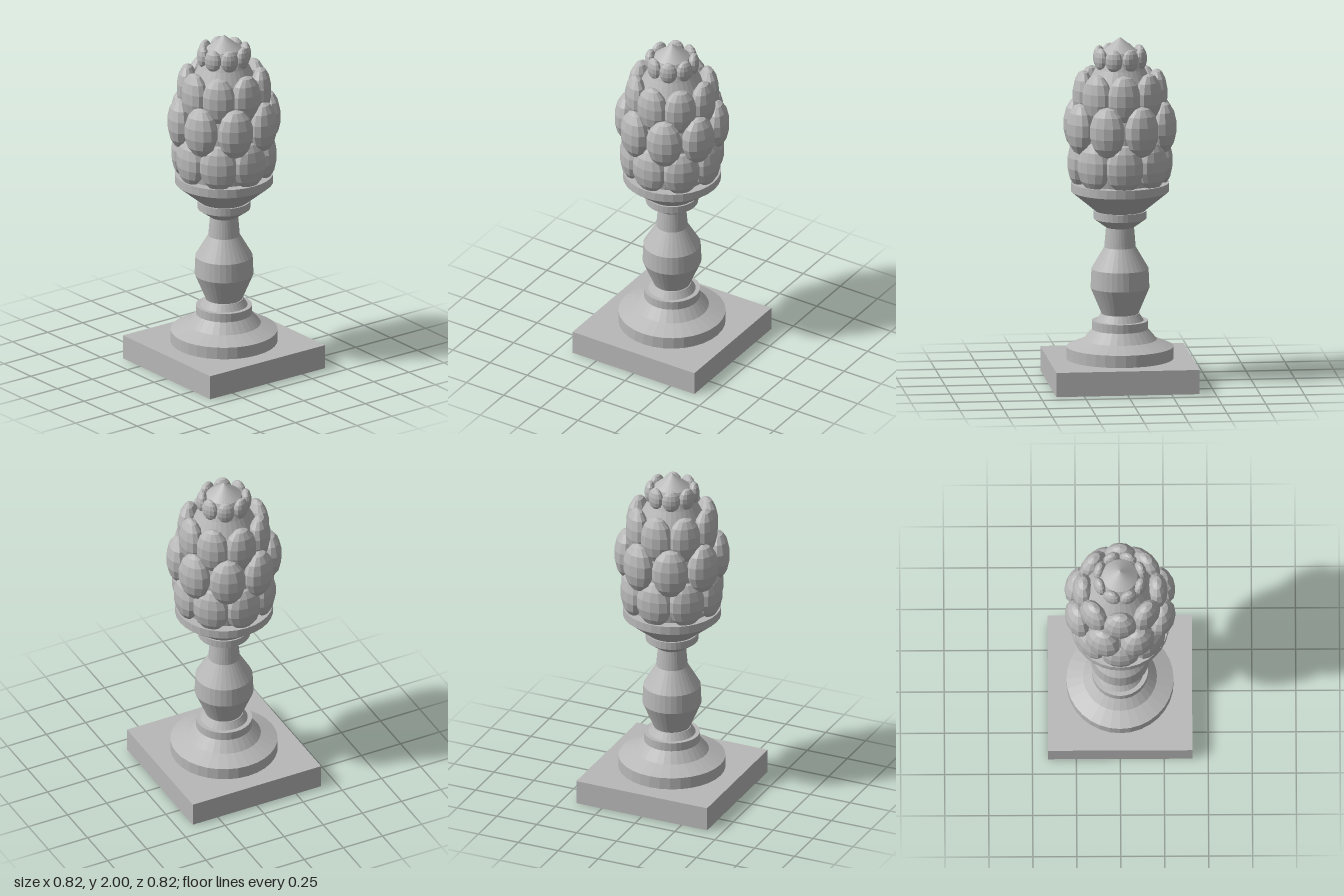
import * as THREE from 'three';

const stone = new THREE.MeshStandardMaterial({ color: 0xb8b8b8 });
stone.name = 'stone grey';

// Faceted mesh: every face gets its own normal
function facet(name, geometry) {
  const g = geometry.index ? geometry.toNonIndexed() : geometry;
  g.computeVertexNormals();
  const mesh = new THREE.Mesh(g, stone);
  mesh.name = name;
  return mesh;
}

// Turned part from [radius, height] pairs, bottom to top
function turned(name, profile) {
  const points = profile.map(([r, y]) => new THREE.Vector2(r, y));
  return facet(name, new THREE.LatheGeometry(points, 32));
}

export function createModel() {
  const model = new THREE.Group();
  model.name = 'finial';

  // Square plinth
  const plinth = facet('plinth', new THREE.BoxGeometry(0.82, 0.14, 0.82));
  plinth.position.y = 0.07;
  model.add(plinth);

  // Turned foot, baluster and cup
  model.add(turned('foot', [
    [0, 0.14], [0.305, 0.14], [0.305, 0.21], [0.21, 0.25], [0.16, 0.31],
    [0.16, 0.36], [0.135, 0.36], [0.11, 0.4], [0, 0.4],
  ]));
  model.add(turned('baluster', [
    [0.105, 0.4], [0.168, 0.55], [0.163, 0.66], [0.09, 0.785], [0.08, 0.9],
  ]));
  model.add(turned('cup', [
    [0, 0.9], [0.08, 0.9], [0.15, 0.95], [0.15, 0.995], [0.14, 0.995],
    [0.28, 1.11], [0.28, 1.16], [0, 1.16],
  ]));

  // Core of the cone, ending in a point
  model.add(turned('coneCore', [
    [0.23, 1.16], [0.25, 1.3], [0.25, 1.5], [0.21, 1.68], [0.14, 1.82],
    [0.1, 1.92], [0, 2],
  ]));

  // Four staggered rings of eight rounded scales
  const rows = [
    { y: 1.28, r: 0.24, size: [0.11, 0.14, 0.062], turn: 0 },
    { y: 1.49, r: 0.26, size: [0.105, 0.148, 0.07], turn: 0.5 },
    { y: 1.67, r: 0.21, size: [0.097, 0.143, 0.062], turn: 0 },
    { y: 1.88, r: 0.125, size: [0.052, 0.066, 0.032], turn: 0.5 },
  ];
  rows.forEach(({ y, r, size, turn }, row) => {
    const ring = new THREE.Group();
    ring.name = `scaleRing${row + 1}`;
    for (let i = 0; i < 8; i++) {
      const angle = (i + turn) * Math.PI / 4;
      const shape = new THREE.SphereGeometry(1, 12, 7).scale(...size);
      const scale = facet('scale', shape);
      scale.position.set(r * Math.sin(angle), y, r * Math.cos(angle));
      scale.rotation.y = angle;
      ring.add(scale);
    }
    model.add(ring);
  });

  return model;
}
